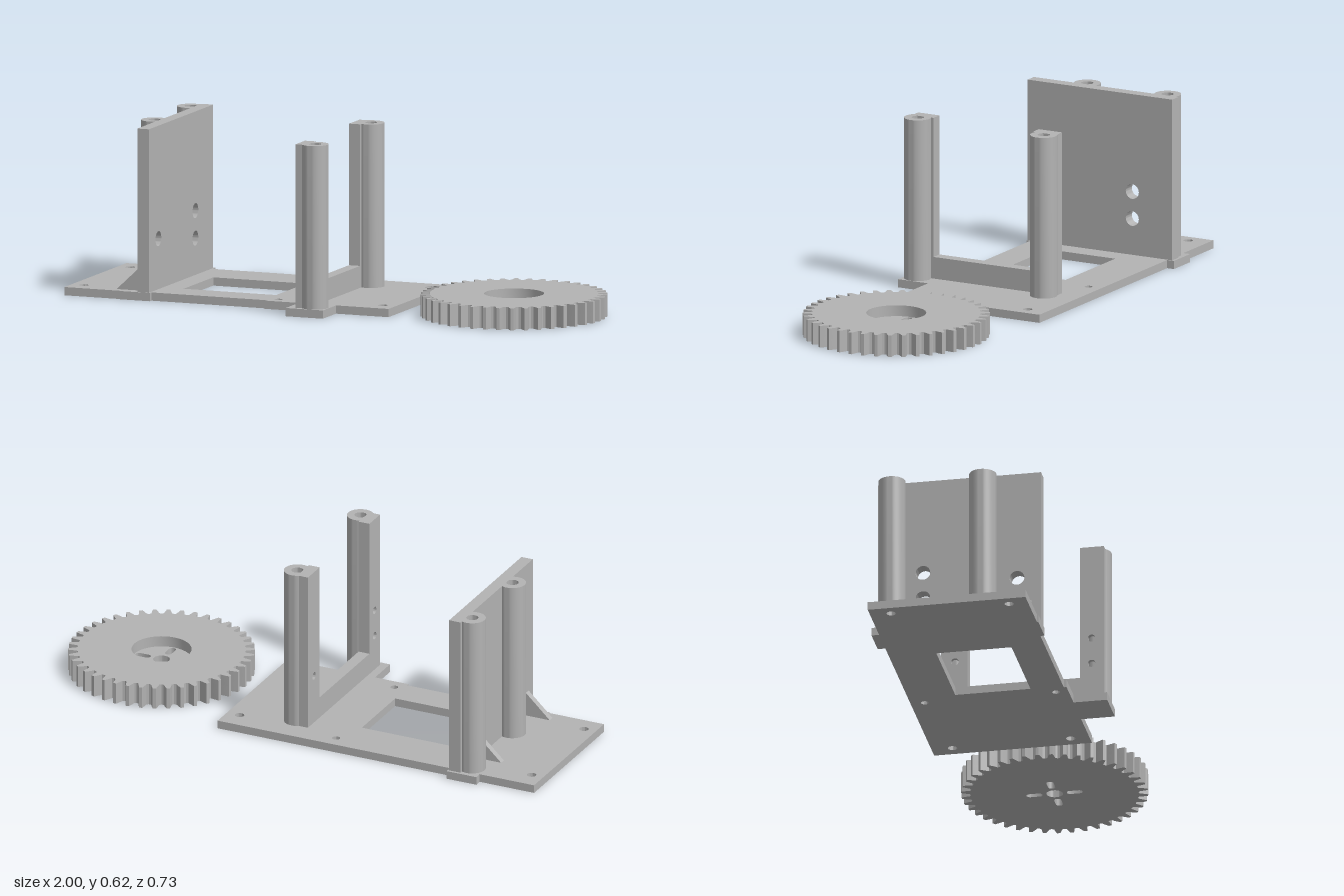
import * as THREE from 'three';
import { toCreasedNormals } from 'three/addons/utils/BufferGeometryUtils.js';

// Plan and side outlines use (x, z) or (z, y); z is negated to suit the extrude axes.
const outline = (pts) => new THREE.Shape(pts.map(([a, b]) => new THREE.Vector2(a, b)));
const plan = (pts) => outline(pts.map(([x, z]) => [x, -z]));
const side = (pts) => outline(pts.map(([z, y]) => [-z, y]));

function circleHole(shape, x, y, r) {
  shape.holes.push(new THREE.Path().absarc(x, y, r, 0, Math.PI * 2, true));
}

function extrude(shape, depth) {
  return new THREE.ExtrudeGeometry(shape, { depth, bevelEnabled: false, curveSegments: 20 });
}

export function createModel() {
  const group = new THREE.Group();
  const grey = new THREE.MeshStandardMaterial({ color: 0xb3b3b3 });
  grey.name = 'grey plastic';

  const add = (name, geo, x = 0, y = 0, z = 0) => {
    const mesh = new THREE.Mesh(toCreasedNormals(geo, 0.5), grey);
    mesh.name = name;
    mesh.position.set(x, y, z);
    group.add(mesh);
  };
  const slab = (shape, height) => extrude(shape, height).rotateX(-Math.PI / 2);
  const panel = (shape, thickness) => extrude(shape, thickness).rotateY(Math.PI / 2);

  // Base plate with tabs, window and screw holes
  const base = plan([
    [-1, 0.24], [-0.783, 0.24], [-0.783, 0.245], [-0.665, 0.245], [-0.665, 0.23],
    [-0.22, 0.23], [-0.22, 0.24], [-0.087, 0.24], [-0.087, 0.363], [0.058, 0.363],
    [0.058, 0.24], [0.262, 0.24], [0.262, -0.337], [-0.665, -0.337], [-0.665, -0.365],
    [-0.783, -0.365], [-0.783, -0.337], [-1, -0.337],
  ]);
  base.holes.push(plan([[-0.59, -0.165], [-0.23, -0.165], [-0.23, 0.11], [-0.59, 0.11]]));
  for (const [x, r, zs] of [[-0.953, 0.017, [-0.26, 0.172]], [0.212, 0.017, [-0.26, 0.172]], [-0.185, 0.014, [-0.285, 0.195]]]) {
    for (const z of zs) circleHole(base, x, -z, r);
  }
  add('basePlate', slab(base, 0.03));

  // Solid wall with three through holes
  const top = 0.625;
  const wall = side([[0.242, 0.03], [-0.355, 0.03], [-0.355, top], [0.242, top]]);
  for (const [z, y] of [[0.154, 0.214], [-0.19, 0.264], [-0.19, 0.164]]) circleHole(wall, -z, y, 0.027);
  add('wall', panel(wall, 0.045), -0.715);

  // U-shaped bracket with small holes in its legs
  const bracket = side([
    [0.345, 0.03], [-0.25, 0.03], [-0.25, top], [-0.153, top],
    [-0.153, 0.11], [0.257, 0.11], [0.257, top], [0.345, top],
  ]);
  for (const [z, y] of [[-0.2, 0.214], [0.3, 0.264], [0.3, 0.164]]) circleHole(bracket, -z, y, 0.014);
  add('bracket', panel(bracket, 0.043), -0.056);

  // Hollow round posts behind the wall and in front of the bracket
  const ring = new THREE.Shape().absarc(0, 0, 0.049, 0, Math.PI * 2);
  circleHole(ring, 0, 0, 0.022);
  for (const [name, x, z] of [
    ['wallPost', -0.735, -0.299], ['wallPost', -0.735, 0.033],
    ['bracketPost', 0.006, -0.209], ['bracketPost', 0.006, 0.312],
  ]) add(name, slab(ring, top - 0.03), x, 0.03, z);

  // Triangular gussets bracing the wall
  const gusset = outline([[-0.81, 0.03], [-0.712, 0.03], [-0.712, 0.122]]);
  for (const z of [-0.216, 0.185]) add('gusset', extrude(gusset, 0.023), 0, 0, z);

  // Gear: toothed outline, with a recess above a drilled and slotted floor
  const teeth = 42;
  const toothProfile = [[-0.5, 0.301], [-0.32, 0.304], [-0.23, 0.319], [-0.12, 0.336],
    [0.12, 0.336], [0.23, 0.319], [0.32, 0.304]];
  const gearPoints = [];
  for (let i = 0; i < teeth; i++) {
    for (const [t, r] of toothProfile) {
      const a = ((i + t) / teeth) * Math.PI * 2;
      gearPoints.push([r * Math.cos(a), r * Math.sin(a)]);
    }
  }
  const floor = outline(gearPoints);
  const rim = outline(gearPoints);
  circleHole(rim, 0, 0, 0.108);
  circleHole(floor, 0, 0, 0.03);
  for (let i = 0; i < 4; i++) {
    const a = (i * Math.PI) / 2;
    const slot = new THREE.Path();
    const c = [Math.cos(a), Math.sin(a)];
    slot.absarc(c[0] * 0.09, c[1] * 0.09, 0.013, a + Math.PI / 2, a - Math.PI / 2, true);
    slot.absarc(c[0] * 0.057, c[1] * 0.057, 0.013, a - Math.PI / 2, a - Math.PI * 1.5, true);
    slot.closePath();
    floor.holes.push(slot);
  }
  add('gearFloor', slab(floor, 0.04), 0.662, 0, 0.027);
  add('gearRim', slab(rim, 0.04), 0.662, 0.04, 0.027);

  return group;
}
